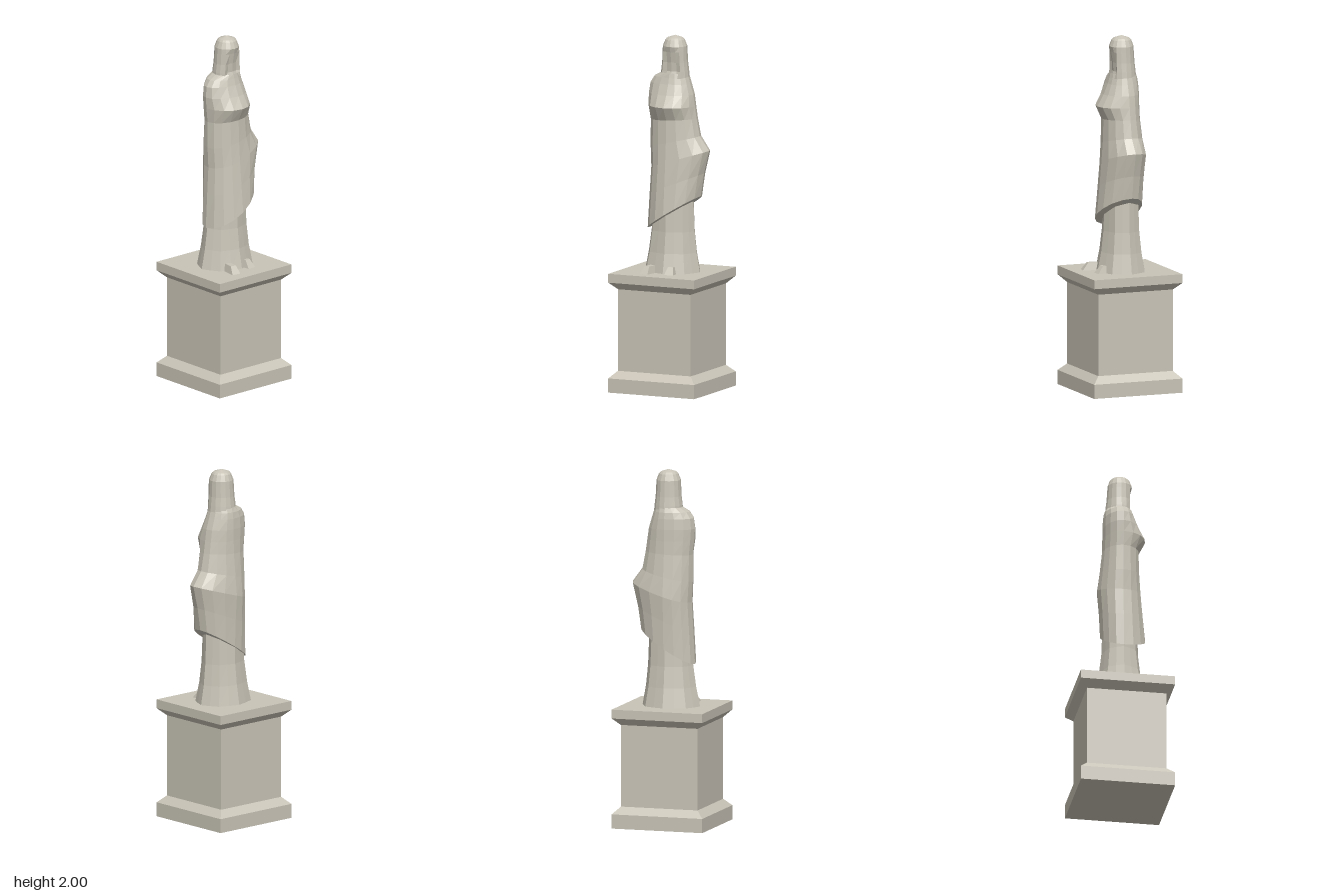
import * as THREE from 'three';

const stone = new THREE.MeshStandardMaterial({ color: 0xc9c4b7, flatShading: true });
stone.name = 'stone';

// Skin closed rings, bottom to top. Each ring: y, left-hand x, right-hand x, back z, front z,
// slope (rise of y along x), dent (how far the front vertices are pushed in).
function loft(rings, sides, cx = 0, pleat = 0) {
  const pos = [], index = [];
  rings.forEach(([y, x0, x1, z0, z1, slope = 0, dent = 0], r) => {
    for (let i = 0; i < sides; i++) {
      const a = (i / sides) * Math.PI * 2;
      const s = Math.sin(a), c = Math.cos(a);
      const fold = i % 2 ? 1 - pleat : 1;
      const x = cx + (s > 0 ? x1 - cx : cx - x0) * s * fold;
      const z = (c > 0 ? z1 : -z0) * c * fold - (c > 0.9 ? dent : 0);
      pos.push(x, y + slope * x, z);
      if (r === 0) continue;
      const j = (i + 1) % sides, lo = (r - 1) * sides, hi = r * sides;
      index.push(lo + i, lo + j, hi + j, lo + i, hi + j, hi + i);
    }
  });
  const g = new THREE.BufferGeometry();
  g.setAttribute('position', new THREE.Float32BufferAttribute(pos, 3));
  g.setIndex(index);
  g.computeVertexNormals();
  return g;
}

export function createModel() {
  const group = new THREE.Group();
  const add = (name, geometry) => {
    const mesh = new THREE.Mesh(geometry, stone);
    mesh.name = name;
    group.add(mesh);
    return mesh;
  };

  // Square pedestal with chamfered base and cap
  const profile = [[0, 0], [0.266, 0], [0.266, 0.08], [0.225, 0.12], [0.225, 0.58], [0.266, 0.62], [0.266, 0.67], [0, 0.67]]
    .map(([h, y]) => new THREE.Vector2(h * Math.SQRT2, y));
  add('pedestal', new THREE.LatheGeometry(profile, 4, Math.PI / 4));

  // Pleated under-robe flaring to the ground
  add('robe', loft([
    [0.67, -0.165, 0.172, -0.138, 0.14],
    [0.78, -0.142, 0.152, -0.118, 0.118],
    [0.9, -0.125, 0.14, -0.104, 0.104],
    [1.15, -0.11, 0.13, -0.095, 0.095],
  ], 16, 0.01, 0.06));

  // Draped mantle: slanted hem, bent elbow, folded arm across the chest, shoulders
  add('mantle', loft([
    [0.985, -0.09, 0.11, -0.08, 0.08, 0.62],
    [0.99, -0.135, 0.178, -0.108, 0.145, 0.62],
    [1.15, -0.125, 0.198, -0.114, 0.13, 0.4],
    [1.29, -0.116, 0.23, -0.124, 0.118, 0.3],
    [1.4, -0.122, 0.172, -0.112, 0.11, 0.22],
    [1.53, -0.122, 0.152, -0.099, 0.106, 0.05],
    [1.605, -0.13, 0.142, -0.097, 0.143],
    [1.67, -0.135, 0.132, -0.097, 0.105],
    [1.73, -0.129, 0.113, -0.094, 0.08],
    [1.765, -0.105, 0.102, -0.089, 0.07],
    [1.79, -0.058, 0.094, -0.08, 0.064],
  ], 16, 0.015));

  // Veiled head with a recessed face
  add('veiledHead', loft([
    [1.74, -0.064, 0.104, -0.085, 0.07],
    [1.8, -0.06, 0.098, -0.079, 0.07, 0, 0.022],
    [1.85, -0.053, 0.092, -0.073, 0.071, 0, 0.02],
    [1.91, -0.05, 0.089, -0.069, 0.072, 0, 0.01],
    [1.94, -0.049, 0.088, -0.067, 0.07],
    [1.975, -0.034, 0.074, -0.055, 0.056],
    [1.985, -0.025, 0.065, -0.045, 0.045],
    [2.0, 0.0199, 0.0201, -0.0001, 0.0001],
  ], 16, 0.02));

  // Feet showing beneath the robe, tapered upward and sloped at the toe
  for (const [name, x, front, yaw] of [['rightFoot', -0.07, 0.198, -0.16], ['leftFoot', 0.055, 0.168, 0.08]]) {
    const length = front - 0.06;
    const g = new THREE.BoxGeometry(0.052, 0.042, length).toNonIndexed();
    const p = g.attributes.position;
    for (let i = 0; i < p.count; i++) {
      if (p.getY(i) < 0) continue;
      p.setX(i, p.getX(i) * 0.62);
      if (p.getZ(i) > 0) p.setZ(i, p.getZ(i) - 0.033);
    }
    g.computeVertexNormals();
    const foot = add(name, g);
    foot.position.set(x, 0.69, 0.06 + length / 2);
    foot.rotation.y = yaw;
  }
  return group;
}
